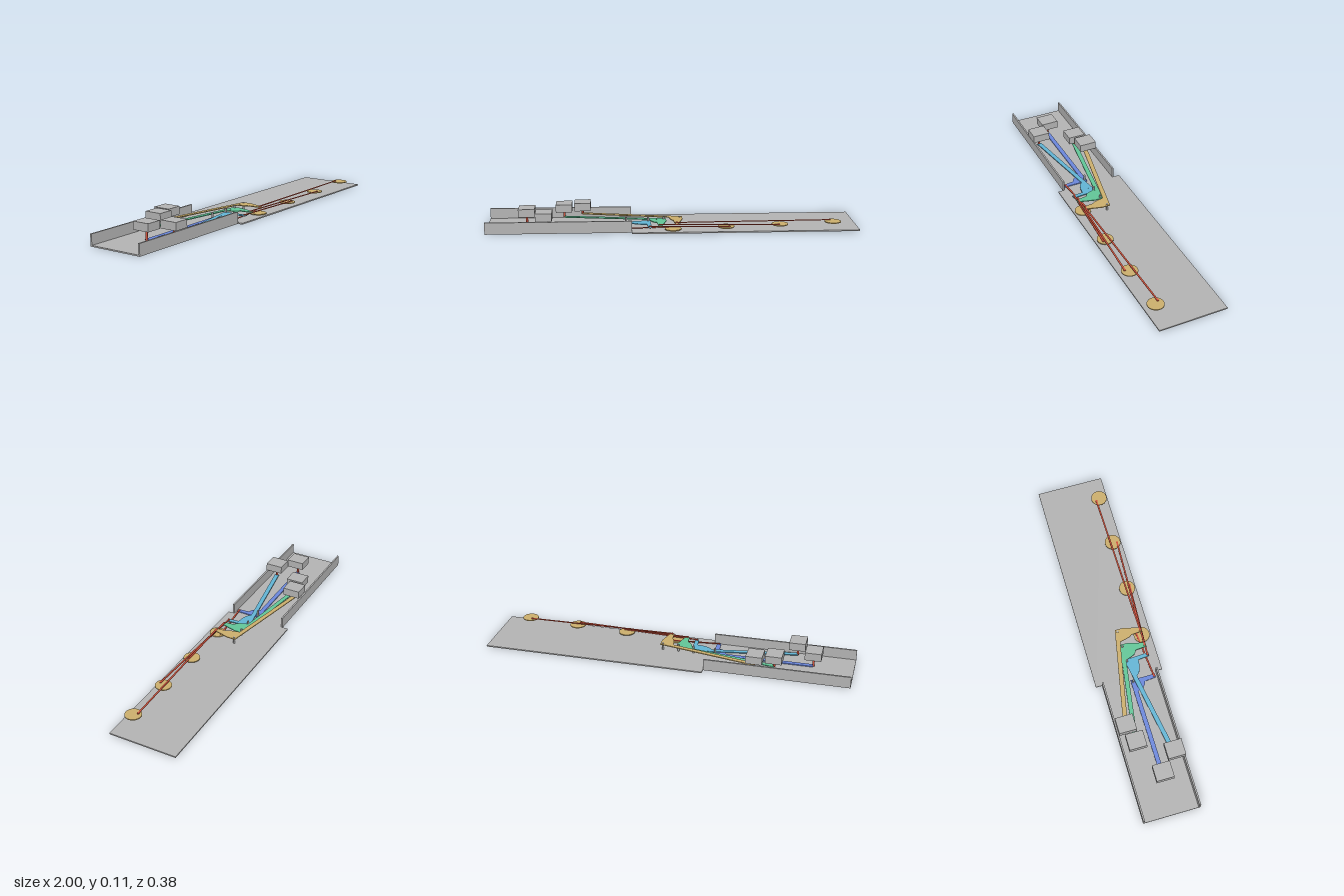
import * as THREE from 'three';

const mat = (name, color) => {
  const m = new THREE.MeshStandardMaterial({ color });
  m.name = name;
  return m;
};

export function createModel() {
  const model = new THREE.Group();
  const grey = mat('grey', 0xb2b2b2), tan = mat('tan', 0xcbae6c), red = mat('red', 0xcd4f3a);
  const green = mat('green', 0x62c597), sky = mat('sky blue', 0x62b4d4), blue = mat('blue', 0x6a86da);

  const add = (name, geo, material) => {
    const mesh = new THREE.Mesh(geo, material);
    mesh.name = name;
    model.add(mesh);
    return mesh;
  };
  const box = (name, material, x0, x1, y0, y1, z0, z1) =>
    add(name, new THREE.BoxGeometry(x1 - x0, y1 - y0, z1 - z0), material)
      .position.set((x0 + x1) / 2, (y0 + y1) / 2, (z0 + z1) / 2);
  const pin = (name, material, x, z, y0, y1, r, sides = 16) =>
    add(name, new THREE.CylinderGeometry(r, r, y1 - y0, sides), material).position.set(x, (y0 + y1) / 2, z);
  // Horizontal plate extruded upwards from outlines given in x, -z
  const plate = (name, material, shapes, y, thick) => {
    const geo = new THREE.ExtrudeGeometry(shapes, { depth: thick, bevelEnabled: false, curveSegments: 10 });
    add(name, geo.rotateX(-Math.PI / 2), material).position.y = y;
  };
  // Straight bar outline between two x, z points
  const bar = ([ax, az], [bx, bz], w) => {
    const a = new THREE.Vector2(ax, -az), b = new THREE.Vector2(bx, -bz);
    const n = b.clone().sub(a).normalize();
    n.set(-n.y, n.x).multiplyScalar(w / 2);
    return new THREE.Shape([a.clone().sub(n), b.clone().sub(n), b.clone().add(n), a.clone().add(n)]);
  };

  // Stepped floor and the two side walls of the key bay
  const floor = [[-1, -0.155], [-0.22, -0.155], [-0.22, -0.19], [1, -0.19],
    [1, 0.185], [-0.22, 0.185], [-0.22, 0.155], [-1, 0.155]];
  plate('floor', grey, new THREE.Shape(floor.map(([x, z]) => new THREE.Vector2(x, -z))), 0, 0.007);
  for (const s of [-1, 1]) {
    const z = s * 0.1515;
    box('sideWall', grey, -1, -0.22, 0.007, 0.064, z - 0.0045, z + 0.0045);
  }

  // One entry per key: key centre, crank corner and toe, pad centre, rod end, level
  const linkages = [
    { color: blue, key: [-0.785, 0.015], corner: [-0.25, 0.012], toe: -0.247, root: -0.31, pad: 0, end: [0.01, 0.107], y: 0.0105 },
    { color: sky, key: [-0.688, 0.108], corner: [-0.13, 0.012], toe: -0.122, root: -0.23, pad: 0.285, end: [0.3, 0.152], y: 0.0195 },
    { color: green, key: [-0.588, -0.073], corner: [-0.045, 0.01], toe: -0.068, root: -0.125, pad: 0.575, end: [0.565, 0.157], y: 0.029 },
    { color: tan, key: [-0.488, -0.1], corner: [0.042, 0.008], toe: 0.02, root: -0.02, pad: 0.86, end: [0.845, 0.115], y: 0.0395 },
  ];

  for (const { color, key, corner, toe, root, pad, end, y } of linkages) {
    const [kx, kz] = key, [cx, cz] = corner;

    // Key cap and its stem
    box('keyCap', grey, kx - 0.044, kx + 0.044, 0.067, 0.11, kz - 0.048, kz + 0.048);
    pin('keyStem', red, kx, kz, y, 0.067, 0.006);

    // Bell crank: long arm with a curved short arm
    const shortArm = new THREE.Shape();
    const rootZ = cz + (kz - cz) * (root - cx) / (kx - cx);
    shortArm.moveTo(root, -rootZ);
    shortArm.quadraticCurveTo(root + 0.012, -0.07, toe - 0.016, -0.075);
    shortArm.lineTo(toe - 0.01, -0.138);
    shortArm.lineTo(toe + 0.01, -0.138);
    shortArm.lineTo(cx + 0.013, -0.045);
    shortArm.lineTo(cx + 0.013, -cz + 0.011);
    shortArm.closePath();
    plate('crankLongArm', color, bar([kx, kz], [cx + 0.008, cz], 0.024), y, 0.005);
    plate('crankShortArm', color, shortArm, y, 0.0049);
    pin('crankPivot', grey, cx, cz, 0.007, 0.048, 0.0055);

    // Pull rod, its two pins and the round pad it drives
    plate('pullRod', red, bar([toe, 0.13], end, 0.009), y + 0.0052, 0.003);
    pin('crankPin', red, toe, 0.13, y - 0.002, y + 0.0092, 0.006);
    pin('padPin', red, end[0], end[1], y - 0.002, y + 0.0092, 0.006);
    pin('roundPad', tan, pad, 0.134, y, y + 0.005, 0.044, 40);
  }
  return model;
}
